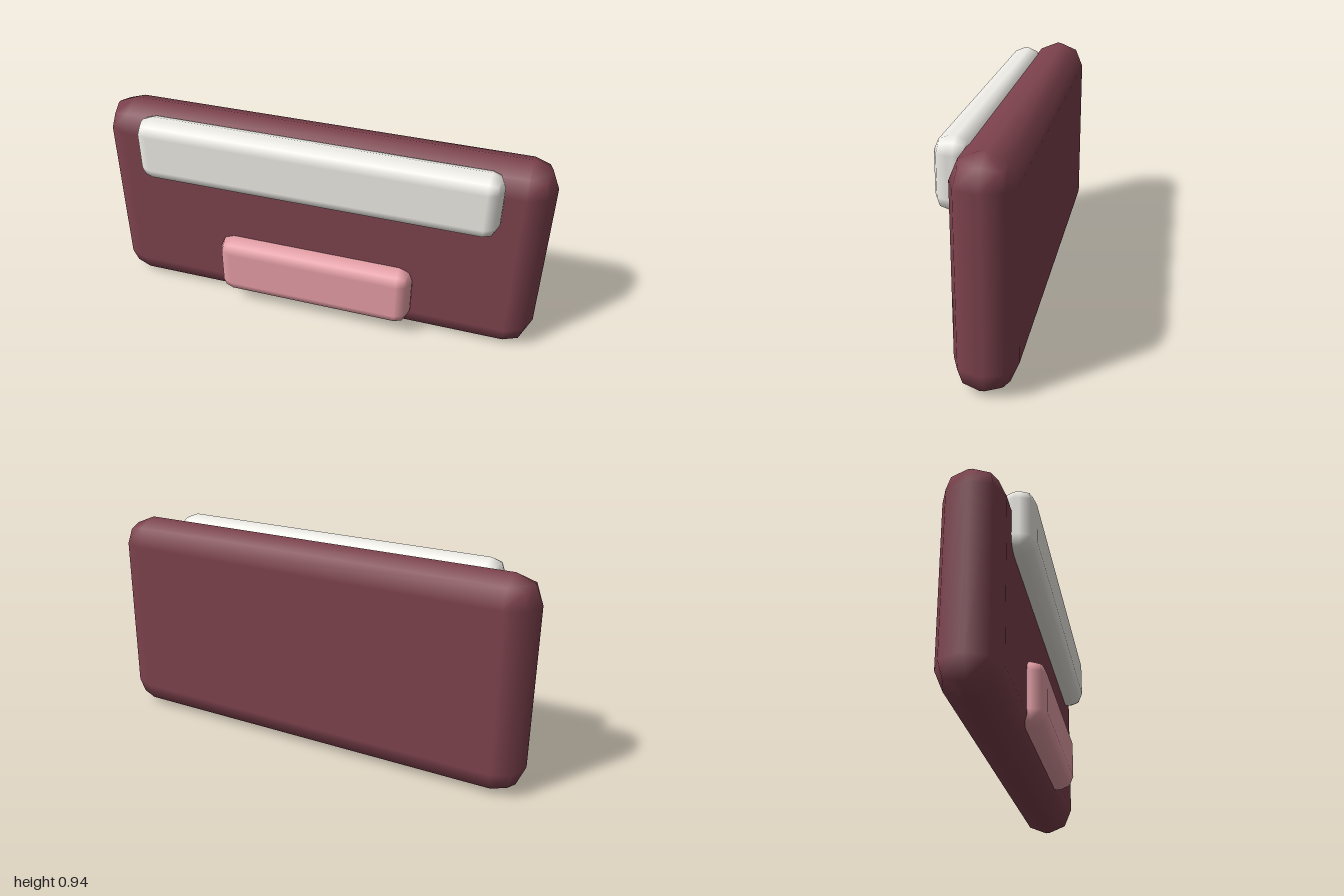
import * as THREE from 'three';
import { RoundedBoxGeometry } from 'three/addons/geometries/RoundedBoxGeometry.js';

// A softly bevelled slab, placed by its centre
function slab(name, [w, h, d], radius, [x, y, z], color) {
  const mesh = new THREE.Mesh(
    new RoundedBoxGeometry(w, h, d, 1, radius),
    new THREE.MeshStandardMaterial({ color })
  );
  mesh.name = name;
  mesh.position.set(x, y, z);
  return mesh;
}

export function createModel() {
  const model = new THREE.Group();
  model.name = 'panel';

  // Main board
  model.add(slab('body', [2, 0.945, 0.252], 0.117, [0, 0.4725, -0.045], 0x7d424d));
  // Pale bar along the top of the front
  model.add(slab('upperBar', [1.595, 0.29, 0.145], 0.061, [0, 0.8, 0.1], 0xf0eee8));
  // Short pink bar near the bottom of the front
  model.add(slab('lowerBar', [0.91, 0.29, 0.145], 0.061, [0, 0.22, 0.083], 0xe8a0a8));

  return model;
}
